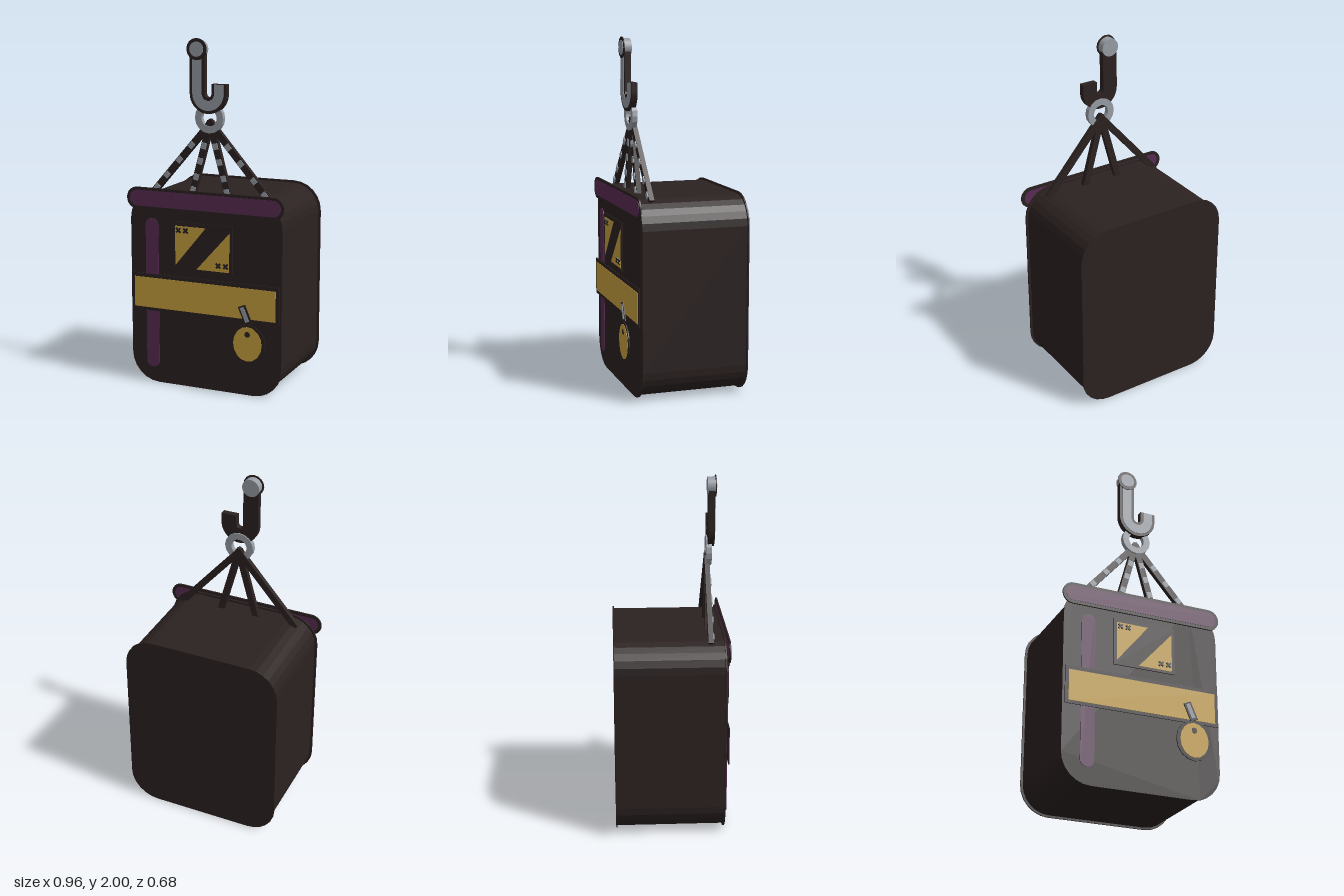
import * as THREE from 'three';

const mat = (name, color) => {
  const m = new THREE.MeshStandardMaterial({ color });
  m.name = name;
  return m;
};

export function createModel() {
  const root = new THREE.Group();
  root.name = 'hangingCrate';
  const dark = mat('darkBrown', 0x2b2221);
  const purple = mat('purple', 0x5a2c54);
  const gold = mat('gold', 0xc9a240);
  const steel = mat('steel', 0x989da5);

  // Outline with rounded corners
  const rounded = (x0, x1, y0, y1, r) => {
    const s = new THREE.Shape();
    s.absarc(x1 - r, y1 - r, r, 0, Math.PI / 2);
    s.absarc(x0 + r, y1 - r, r, Math.PI / 2, Math.PI);
    s.absarc(x0 + r, y0 + r, r, Math.PI, Math.PI * 1.5);
    s.absarc(x1 - r, y0 + r, r, Math.PI * 1.5, Math.PI * 2);
    return s;
  };
  const poly = (...pts) => new THREE.Shape(pts.map(p => new THREE.Vector2(...p)));
  const rect = (x0, x1, y0, y1) => poly([x0, y0], [x1, y0], [x1, y1], [x0, y1]);
  const oval = (x, y, rx, ry = rx) => new THREE.Shape().absellipse(x, y, rx, ry, 0, Math.PI * 2);

  // Extrudes an outline between two depths
  const plate = (name, shape, material, z0, z1, curveSegments = 8) => {
    const g = new THREE.ExtrudeGeometry(shape, { depth: z1 - z0, bevelEnabled: false, curveSegments });
    const m = new THREE.Mesh(g.translate(0, 0, z0), material);
    m.name = name;
    root.add(m);
    return m;
  };
  // Box bar lying between two points of the front plane
  const bar = (name, a, b, width, z0, z1, material) => {
    const dx = b[0] - a[0], dy = b[1] - a[1];
    const m = new THREE.Mesh(new THREE.BoxGeometry(width, Math.hypot(dx, dy), z1 - z0), material);
    m.position.set((a[0] + b[0]) / 2, (a[1] + b[1]) / 2, (z0 + z1) / 2);
    m.rotation.z = Math.atan2(dy, dx) - Math.PI / 2;
    m.name = name;
    root.add(m);
  };

  // Body with a slightly larger plate at each end
  plate('body', rounded(-0.453, 0.453, 0.017, 1.13, 0.16), dark, -0.333, 0.268, 3);
  plate('frontPanel', rounded(-0.466, 0.466, 0.005, 1.142, 0.17), dark, 0.268, 0.277, 3);
  plate('backPanel', rounded(-0.466, 0.466, 0.005, 1.142, 0.17), dark, -0.341, -0.333, 3);

  // Rim: dark frame around a purple bar
  const frame = rounded(-0.48, 0.48, 1.03, 1.156, 0.062);
  frame.holes.push(rounded(-0.46, 0.46, 1.05, 1.138, 0.043));
  plate('rimFrame', frame, dark, 0.286, 0.295);
  plate('rimBar', rounded(-0.462, 0.462, 1.048, 1.14, 0.045), purple, 0.288, 0.297);

  // Vertical stripe and horizontal band
  plate('stripe', rounded(-0.365, -0.285, 0.1, 0.98, 0.038), purple, 0.288, 0.292);
  plate('bandBorder', rect(-0.457, 0.457, 0.438, 0.655), dark, 0.289, 0.295);
  plate('band', rect(-0.437, 0.437, 0.456, 0.633), gold, 0.29, 0.297);

  // Patch: two gold triangles split by a dark diagonal, with cross stitches
  plate('patch', rect(-0.185, 0.185, 0.7, 0.978), dark, 0.308, 0.314);
  plate('patchTriangle', poly([-0.166, 0.956], [-0.166, 0.728], [0.022, 0.956]), gold, 0.31, 0.316);
  plate('patchTriangle', poly([0.166, 0.715], [0.166, 0.938], [-0.035, 0.715]), gold, 0.31, 0.316);
  for (const [x, y] of [[-0.145, 0.932], [-0.1, 0.932], [0.1, 0.75], [0.145, 0.75]])
    for (const s of [-1, 1])
      bar('stitch', [x - 0.013 * s, y - 0.013], [x + 0.013 * s, y + 0.013], 0.011, 0.314, 0.321, dark);

  // Round tag on a short tie
  plate('tagBorder', oval(0.285, 0.322, 0.108, 0.116), dark, 0.328, 0.334);
  plate('tag', oval(0.285, 0.324, 0.086, 0.1), gold, 0.33, 0.336);
  plate('tagHole', oval(0.285, 0.38, 0.016), dark, 0.334, 0.338);
  bar('tagTieBorder', [0.247, 0.54], [0.29, 0.44], 0.045, 0.327, 0.333, dark);
  bar('tagTie', [0.25, 0.532], [0.284, 0.452], 0.024, 0.329, 0.336, steel);

  // Four ropes with steel wraps
  const apex = [0, 1.53];
  for (const x of [-0.36, -0.113, 0.113, 0.36]) {
    const foot = [x, 1.115];
    const at = t => [apex[0] + x * t, apex[1] + (foot[1] - apex[1]) * t];
    bar('rope', at(-0.03), foot, 0.038, 0.18, 0.208, dark);
    for (const t of [0.31, 0.52, 0.74, 0.92])
      bar('ropeWrap', at(t - 0.018 / Math.hypot(x, 0.415)), at(t + 0.018 / Math.hypot(x, 0.415)),
        0.03, 0.204, 0.213, steel);
  }

  // Ring joining ropes and hook
  const ring = oval(0, 1.56, 0.086);
  ring.holes.push(oval(0, 1.56, 0.047));
  plate('ring', ring, steel, 0.188, 0.218);

  // Hook: J outline of a given half width
  const hookShape = (w, tip) => {
    const r = 0.066, cy = 1.695, s = new THREE.Shape();
    s.moveTo(-r - w, 1.93);
    s.lineTo(-r - w, cy);
    s.absarc(0, cy, r + w, Math.PI, Math.PI * 2);
    s.lineTo(r + w, tip);
    s.lineTo(r - w, tip);
    s.lineTo(r - w, cy);
    s.absarc(0, cy, r - w, 0, Math.PI, true);
    s.lineTo(-r + w, 1.93);
    return s;
  };
  plate('hook', hookShape(0.045, 1.75), dark, 0.195, 0.231, 10);
  plate('hookFace', hookShape(0.028, 1.748), steel, 0.228, 0.234, 10);

  // Pin at the top of the hook
  const pin = new THREE.Mesh(new THREE.CylinderGeometry(0.051, 0.051, 0.044, 20), steel);
  pin.rotation.x = Math.PI / 2;
  pin.position.set(-0.066, 1.939, 0.212);
  pin.name = 'hookPin';
  root.add(pin);
  plate('hookPinBorder', oval(-0.066, 1.939, 0.061), dark, 0.233, 0.238);
  plate('hookPinFace', oval(-0.066, 1.939, 0.042), steel, 0.234, 0.241);

  return root;
}
